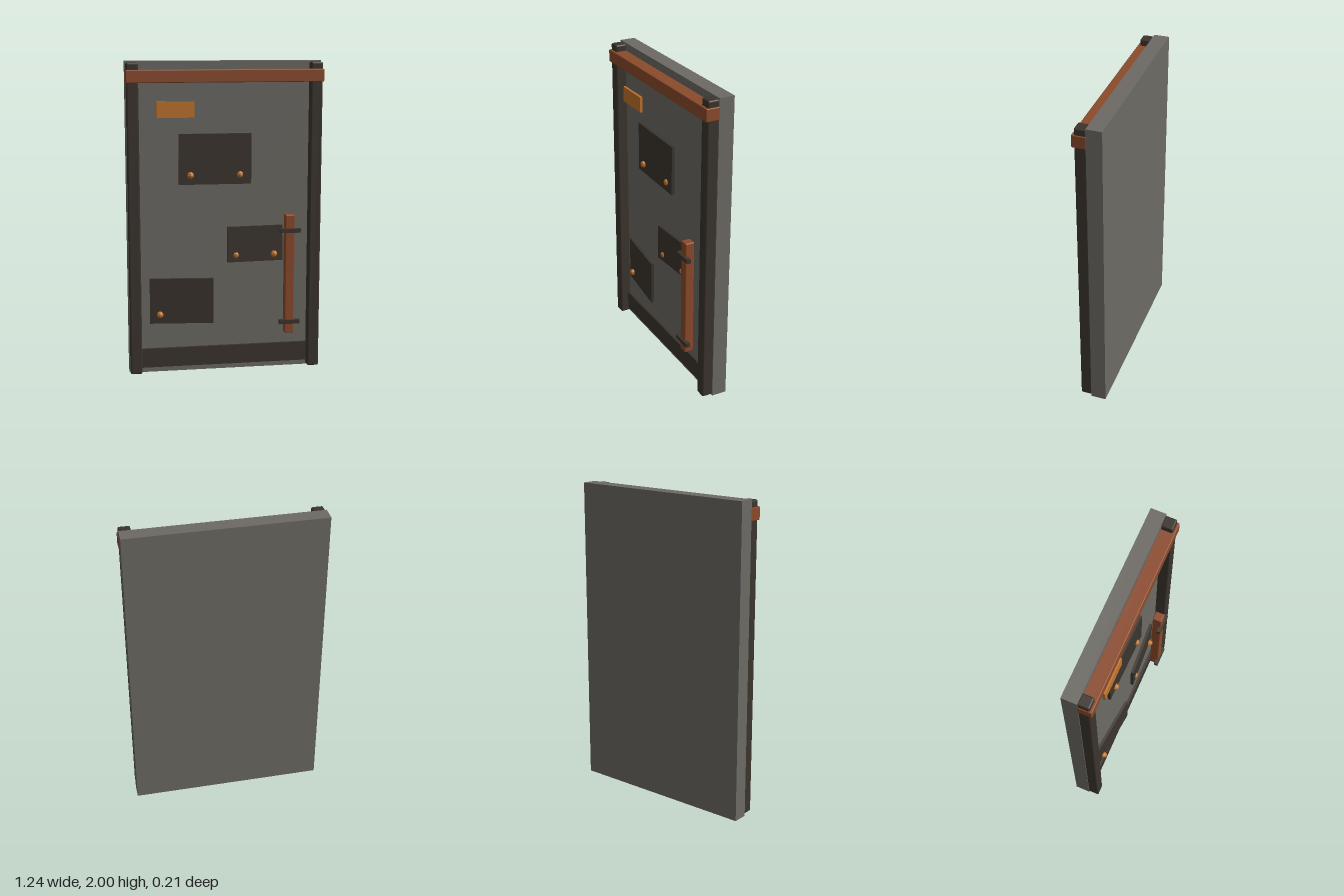
import * as THREE from 'three';
import { RoundedBoxGeometry } from 'three/addons/geometries/RoundedBoxGeometry.js';

const colour = (name, hex) => {
  const m = new THREE.MeshStandardMaterial({ color: hex });
  m.name = name;
  return m;
};

export function createModel() {
  const grey = colour('grey slab', 0x6d6a64);
  const dark = colour('dark iron', 0x3b342d);
  const rust = colour('rusty brown', 0x8b4a2b);
  const orange = colour('orange', 0xc0732b);

  const model = new THREE.Group();
  model.name = 'panelDoor';

  // Box given by its extents; a bevel above zero softens the edges
  function box(name, material, [x0, x1], [y0, y1], [z0, z1], bevel = 0) {
    const size = [x1 - x0, y1 - y0, z1 - z0];
    const geometry = bevel
      ? new RoundedBoxGeometry(...size, 2, bevel)
      : new THREE.BoxGeometry(...size);
    const mesh = new THREE.Mesh(geometry, material);
    mesh.name = name;
    mesh.position.set((x0 + x1) / 2, (y0 + y1) / 2, (z0 + z1) / 2);
    model.add(mesh);
    return mesh;
  }

  // Main slab and its frame
  box('slab', grey, [-0.62, 0.62], [0, 2], [-0.105, -0.008]);
  box('leftPost', dark, [0.543, 0.617], [0.01, 1.992], [-0.012, 0.062], 0.01);
  box('rightPost', dark, [-0.617, -0.543], [0.01, 1.992], [-0.012, 0.062], 0.01);
  box('topBeam', rust, [-0.622, 0.622], [1.87, 1.95], [-0.012, 0.077], 0.006);
  box('kickPlate', dark, [-0.545, 0.545], [0.035, 0.16], [-0.01, 0.01]);
  box('label', orange, [-0.435, -0.2], [1.655, 1.755], [0.053, 0.069]);

  // Patch plates, some slightly askew, each with a pair of studs
  const studGeometry = new THREE.SphereGeometry(0.022, 8, 6).toNonIndexed();
  studGeometry.computeVertexNormals();
  const patches = [
    { name: 'upperPatch', x: [-0.295, 0.165], y: [1.23, 1.55], z: 0.038, turn: -0.02, studs: [-0.222, 0.093], studY: 1.29, studZ: 0.037 },
    { name: 'middlePatch', x: [0.01, 0.373], y: [0.725, 0.955], z: 0.046, turn: 0.06, studs: [0.066, 0.315], studY: 0.77, studZ: 0.045 },
    { name: 'lowerPatch', x: [-0.487, -0.08], y: [0.33, 0.625], z: 0.037, turn: -0.105, studs: [-0.423, -0.165], studY: 0.39, studZ: 0.028 },
  ];
  for (const p of patches) {
    box(p.name, dark, p.x, p.y, [p.z - 0.018, p.z]).rotation.y = p.turn;
    for (const x of p.studs) {
      const stud = new THREE.Mesh(studGeometry, orange);
      stud.name = p.name + 'Stud';
      stud.position.set(x, p.studY, p.studZ);
      model.add(stud);
    }
  }

  // Upright handle held by two brackets
  box('handle', rust, [0.38, 0.44], [0.25, 1.03], [0.034, 0.094], 0.006);
  for (const y of [0.327, 0.928]) {
    box('handleBracket', dark, [0.343, 0.477], [y - 0.013, y + 0.013], [0.078, 0.105]);
  }

  return model;
}
